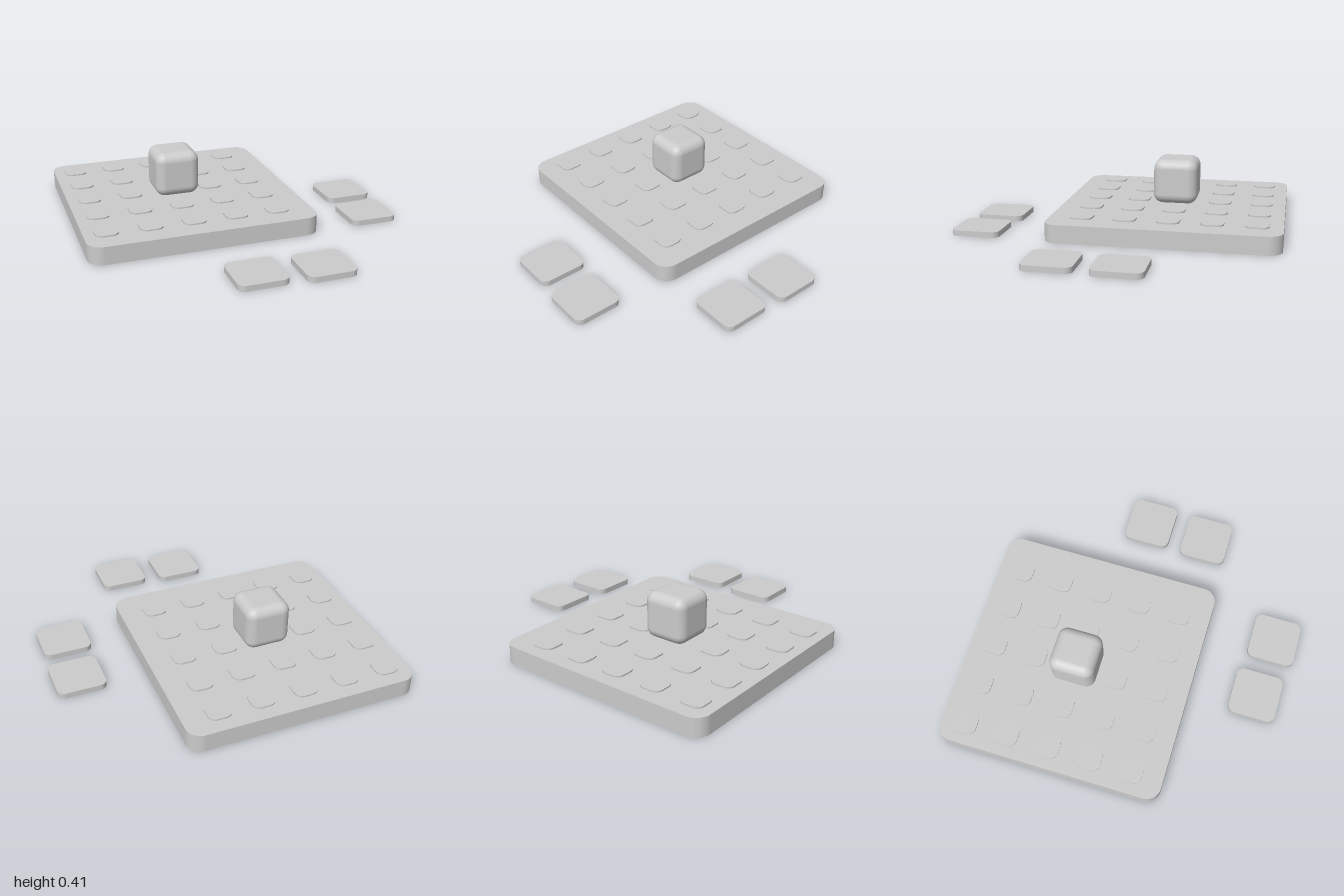
import * as THREE from 'three';
import { RoundedBoxGeometry } from 'three/addons/geometries/RoundedBoxGeometry.js';

const material = new THREE.MeshStandardMaterial({ color: 0xcccccc });

// Flat square slab with rounded vertical corners, standing on y = 0
function slabGeometry(size, height, radius) {
  const h = size / 2, k = h - radius;
  const shape = new THREE.Shape();
  shape.absarc(k, k, radius, 0, Math.PI / 2);
  shape.absarc(-k, k, radius, Math.PI / 2, Math.PI);
  shape.absarc(-k, -k, radius, Math.PI, Math.PI * 1.5);
  shape.absarc(k, -k, radius, Math.PI * 1.5, Math.PI * 2);
  shape.closePath();
  return new THREE.ExtrudeGeometry(shape, { depth: height, bevelEnabled: false, curveSegments: 8 })
    .rotateX(-Math.PI / 2);
}

export function createModel() {
  const model = new THREE.Group();
  model.name = 'boardGame';

  const add = (name, geometry, x, y, z) => {
    const mesh = new THREE.Mesh(geometry, material);
    mesh.name = name;
    mesh.position.set(x, y, z);
    model.add(mesh);
  };

  // Board
  const boardHeight = 0.112;
  add('board', slabGeometry(1.413, boardHeight, 0.09), -0.275, 0, -0.293);

  // Five by five grid of raised cells
  const cell = slabGeometry(0.14, 0.009, 0.045);
  for (let row = 0; row < 5; row++) {
    for (let col = 0; col < 5; col++) {
      add(`cell${row + 1}_${col + 1}`, cell, -0.845 + col * 0.265, boardHeight, -0.845 + row * 0.265);
    }
  }

  // Rounded cube standing on the centre of the board
  add('cube', new RoundedBoxGeometry(0.28, 0.284, 0.28, 5, 0.06), -0.295, 0.263, -0.299);

  // Loose tiles beside the board
  const tile = slabGeometry(0.298, 0.035, 0.045);
  [[0.83, -0.15], [0.815, 0.24], [-0.143, 0.82], [0.249, 0.847]].forEach(([x, z], i) => {
    add(`tile${i + 1}`, tile, x, 0, z);
  });

  return model;
}
